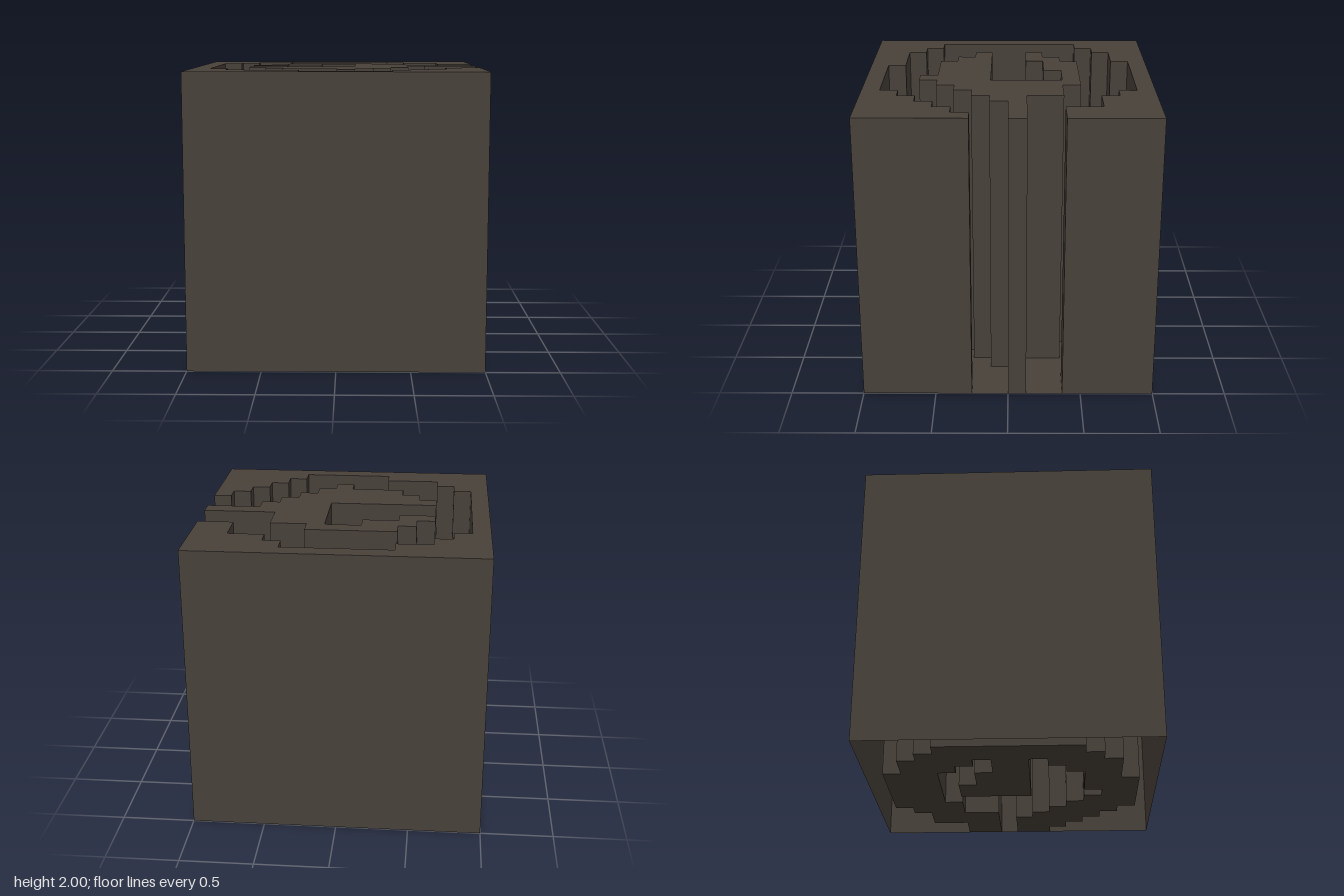
import * as THREE from 'three';
import { mergeGeometries } from 'three/addons/utils/BufferGeometryUtils.js';

const CELL = 1 / 8;
const HEIGHT = 2;

// Stepped outline: alternating moves along x and z, in grid cells.
function steppedPath(x, z, moves) {
  const points = [[x, z]];
  moves.forEach((m, i) => {
    if (i % 2 === 0) x += m;
    else z += m;
    points.push([x, z]);
  });
  return points;
}

// Grid points to a counter-clockwise plan outline (plan y is -z).
function outline(points) {
  const pts = points.map(([x, z]) => new THREE.Vector2(x * CELL, -z * CELL));
  return THREE.ShapeUtils.isClockWise(pts) ? pts.reverse() : pts;
}

function flat(points, y) {
  return new THREE.ShapeGeometry(new THREE.Shape(outline(points)))
    .rotateX(-Math.PI / 2).translate(0, y, 0);
}

// One upright plane for each edge, facing out of the outline.
function walls(points) {
  const pts = outline(points);
  return mergeGeometries(pts.map((a, i) => {
    const b = pts[(i + 1) % pts.length];
    return new THREE.PlaneGeometry(a.distanceTo(b), HEIGHT)
      .rotateY(Math.atan2(b.y - a.y, b.x - a.x))
      .translate((a.x + b.x) / 2, HEIGHT / 2, -(a.y + b.y) / 2);
  }));
}

export function createModel() {
  const stone = new THREE.MeshStandardMaterial({ color: 0x48413a, side: THREE.DoubleSide });
  stone.name = 'dark stone';
  const model = new THREE.Group();
  model.name = 'carvedBlock';

  const add = (name, geometry) => {
    const mesh = new THREE.Mesh(geometry, stone);
    mesh.name = name;
    model.add(mesh);
  };

  // Outer and inner edges of the channel, both starting on the right face
  const outerEdge = steppedPath(8, -3, [
    -2, -2, -2, -1, -1, -1, -6, 1, -2, 1, -1, 1, -1, 8, 1, 1, 1, 1, 3, 1,
    5, -1, 1, -1, 1, -1, 1, -1, 1, -1, 1]);
  const innerEdge = steppedPath(8, -1, [
    -4, -2, -2, -1, -5, 1, -1, 1, -1, 1, 2, -1, 2, -1, 2, 4, -6, 1, 1, 1,
    1, 1, 3, 1, 1, -1, 1, -1, 1, -1, 1, -1, 1, -1, 3]);

  // Surrounding block, open below
  const rim = [...outerEdge, [8, 8], [-8, 8], [-8, -8], [8, -8]];
  add('rimTop', flat(rim, HEIGHT));
  add('rimWalls', walls(rim));

  // Hooked island in the middle, open below
  add('islandTop', flat(innerEdge, HEIGHT));
  add('islandWalls', walls(innerEdge));

  // Floor of the channel between them
  add('channelFloor', flat([...outerEdge, ...[...innerEdge].reverse()], 0));

  return model;
}
